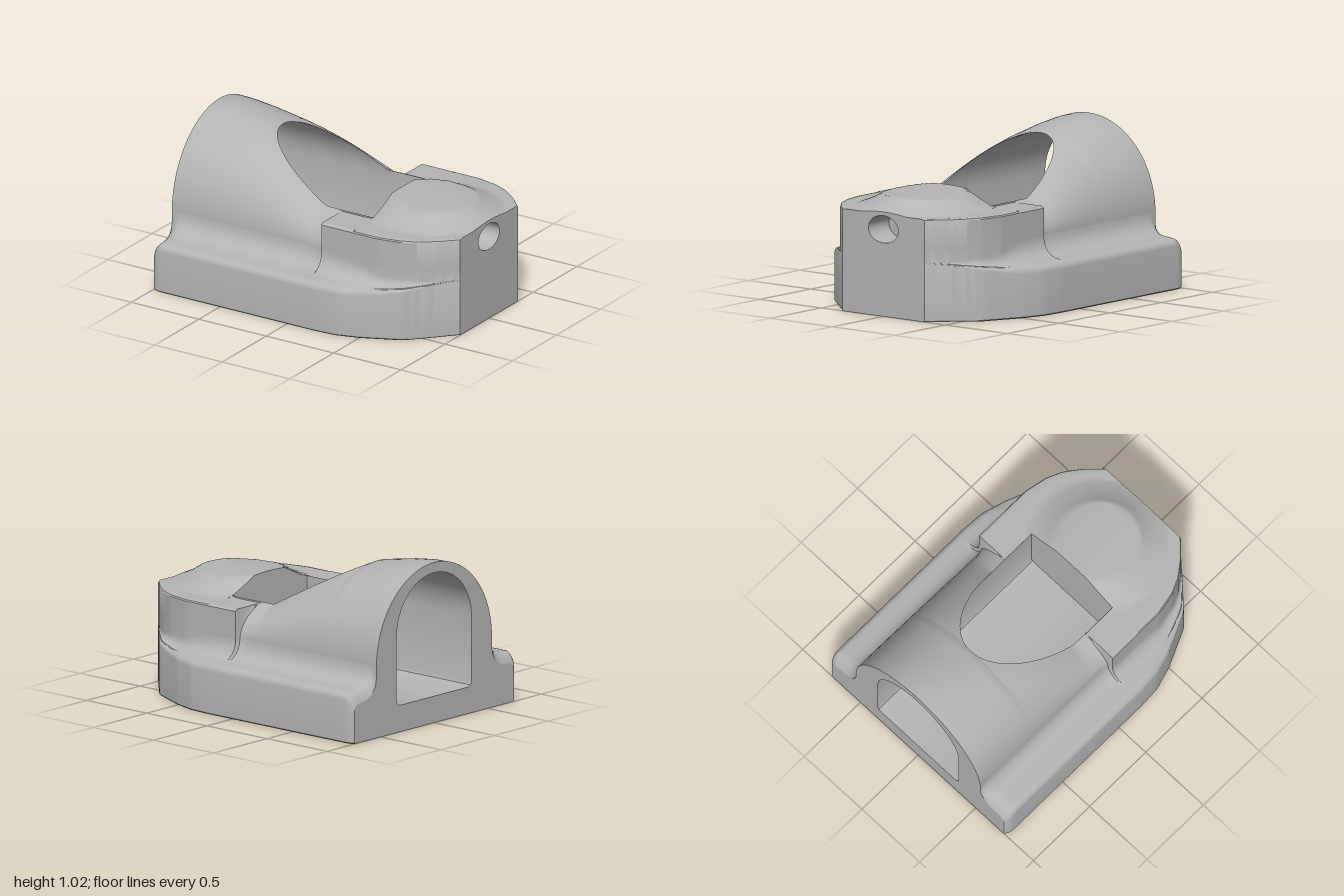
import * as THREE from 'three';
import { toCreasedNormals } from 'three/addons/utils/BufferGeometryUtils.js';

const TUNNEL = 0.35, SPRING = 0.61, FLOOR = 0.17; // tunnel half width, arch centre, floor height
const TIP = -0.53, STEP = 0.13, WALL = 0.37;      // opening tip, block start, opening end

// Piecewise linear lookup in [x, value] pairs
function lookup(table, x) {
  if (x <= table[0][0]) return table[0][1];
  for (let i = 1; i < table.length; i++) {
    const [x0, v0] = table[i - 1], [x1, v1] = table[i];
    if (x <= x1) return v0 + (v1 - v0) * (x - x0) / (x1 - x0);
  }
  return table[table.length - 1][1];
}

const baseWidth = [[-1, 0.745], [-0.985, 0.76], [-0.96, 0.768], [-0.94, 0.77], [0.2, 0.77], [0.35, 0.76],
  [0.5, 0.715], [0.75, 0.6], [0.9, 0.44], [1, 0.33]];
const shoulder = [[-1, 0.25], [-0.985, 0.285], [-0.96, 0.31], [-0.94, 0.32], [0.6, 0.32], [1, 0.37]];
const upperWidth = [[0.08, 0.54], [0.125, 0.55], [0.135, 0.58], [0.55, 0.58], [0.7, 0.55], [0.8, 0.505],
  [0.9, 0.43], [1, 0.33]];
const ridge = [[-1, 1.025], [-0.9, 1.022], [-0.75, 1.003], [TIP, 0.962]];

// Half width of the top opening, and height of its rim
const openHalf = x => x <= TIP ? 0 : x >= 0.1 ? TUNNEL : TUNNEL * Math.sqrt(Math.max(0, 1 - ((x - 0.1) / 0.63) ** 2));
const archY = z => SPRING + Math.sqrt(Math.max(0, TUNNEL * TUNNEL - z * z));
const rimY = x => x <= TIP ? lookup(ridge, x) : Math.max(archY(openHalf(x)), 0.655);

// Top of the toe block: a raised round plateau that falls away to the rim
function domeY(x, z) {
  const r = Math.hypot(x - 0.6, z);
  const t = THREE.MathUtils.clamp((r - 0.27) / 0.17, 0, 1);
  const plateau = 0.75 - 0.035 * Math.max(0, x - WALL) - 0.25 * z * z * (1 - t);
  return THREE.MathUtils.lerp(plateau, 0.645, t * (1.4 - 0.4 * t));
}

// Outer half section as [z, y], from the bottom centre up to the rim
function outerSection(x, inner) {
  const w = lookup(upperWidth, x), b = Math.max(lookup(baseWidth, x), w + 0.001), s = lookup(shoulder, x);
  const gap = b - w, r1 = Math.min(0.045, gap * 0.3), r2 = Math.min(0.13, gap * 0.65);
  const p = [[0, 0], [b - 0.008, 0], [b, 0.008]];
  for (let i = 0; i <= 4; i++) {
    const a = i / 4 * Math.PI / 2;
    p.push([b - r1 + r1 * Math.cos(a), s - r1 + r1 * Math.sin(a)]);
  }
  for (let i = 0; i <= 6; i++) {
    const a = i / 6 * Math.PI / 2;
    p.push([w + r2 - r2 * Math.sin(a), s + 0.005 + r2 - r2 * Math.cos(a)]);
  }
  const n = 24;
  if (x < STEP) {
    const e = openHalf(x), h = (rimY(x) - 0.45) / Math.sqrt(1 - (e / w) ** 2), end = Math.acos(e / w);
    for (let i = 0; i <= n; i++) p.push([w * Math.cos(end * i / n), 0.45 + h * Math.sin(end * i / n)]);
  } else {
    p.push([w, 0.46], [w, 0.632], [w - 0.006, 0.64]);
    const e = inner ? TUNNEL : 0;
    for (let i = 3; i <= n; i++) {
      const z = THREE.MathUtils.lerp(w - 0.006, e, (i - 2) / (n - 2));
      p.push([z, Math.max(0.64, domeY(x, z))]);
    }
  }
  return p;
}

// Tunnel half section, from the rim down to the floor centre
function innerSection(x) {
  const e = openHalf(x), start = Math.acos(e / TUNNEL), p = [[e, x <= TIP ? archY(0) : rimY(x)]];
  for (let i = 0; i <= 20; i++) {
    const a = start * (1 - i / 20);
    p.push([TUNNEL * Math.cos(a), SPRING + TUNNEL * Math.sin(a)]);
  }
  p.push([TUNNEL, FLOOR + 0.03], [TUNNEL - 0.009, FLOOR + 0.009], [TUNNEL - 0.03, FLOOR], [0, FLOOR]);
  return p;
}

// Skin a row of half sections along x and mirror it in z
function loft(xs, section) {
  const pos = [], idx = [], rows = xs.map(section), n = rows[0].length;
  for (const side of [1, -1]) {
    const o = pos.length / 3;
    rows.forEach((row, k) => row.forEach(([z, y]) => pos.push(xs[k], y, z * side)));
    for (let k = 0; k < xs.length - 1; k++) for (let j = 0; j < n - 1; j++) {
      const a = o + k * n + j, b = a + n, c = b + 1, d = a + 1;
      if (side > 0) idx.push(a, b, c, a, c, d);
      else idx.push(a, c, b, a, d, c);
    }
  }
  const g = new THREE.BufferGeometry();
  g.setAttribute('position', new THREE.Float32BufferAttribute(pos, 3));
  g.setIndex(idx);
  return toCreasedNormals(g, 0.55);
}

// Closed outline from a half section
const outline = half => [...half, ...half.slice().reverse().map(([z, y]) => [-z, y])]
  .map(([z, y]) => new THREE.Vector2(z, y));

function steps(from, to, n) {
  return Array.from({ length: n + 1 }, (_, i) => from + (to - from) * i / n);
}

export function createModel() {
  const group = new THREE.Group();
  const grey = new THREE.MeshStandardMaterial({ color: 0xb4b4b4, side: THREE.DoubleSide });
  const add = (name, geometry) => {
    const mesh = new THREE.Mesh(geometry, grey);
    mesh.name = name;
    group.add(mesh);
    return mesh;
  };

  // Sleeve with its rails, and the tunnel through it
  const sleeveX = [-1, -0.985, -0.96, -0.94, ...steps(-0.9, TIP, 8), -0.527, -0.52, -0.51,
    ...steps(-0.49, 0.08, 24), 0.1, 0.125, 0.135, ...steps(0.16, WALL, 8)];
  add('sleeve', loft(sleeveX, x => outerSection(x, true)));
  add('tunnel', loft(sleeveX, innerSection));

  // Rounded toe block
  add('toeBlock', loft([...steps(WALL, 0.98, 30), 1], x => outerSection(x, false)));

  // Open rear end
  const rear = new THREE.Shape(outline(outerSection(-1, true)));
  rear.holes.push(new THREE.Path(outline(innerSection(-1))));
  add('rearFace', new THREE.ShapeGeometry(rear).rotateY(-Math.PI / 2)).position.x = -1;

  // Wall that ends the opening
  const top = steps(TUNNEL, 0, 16).map(z => [z, domeY(WALL, z)]);
  const wall = new THREE.Shape(outline([[0, FLOOR], [TUNNEL, FLOOR], ...top]));
  add('openingWall', new THREE.ShapeGeometry(wall).rotateY(-Math.PI / 2)).position.x = WALL;

  // Flat toe face with an oval socket
  const [rz, ry, depth, hy] = [0.12, 0.086, 0.2, 0.549];
  const toe = new THREE.Shape(outline(outerSection(1, false)));
  toe.holes.push(new THREE.Path().absellipse(0, hy, rz, ry, 0, Math.PI * 2, true));
  add('toeFace', new THREE.ShapeGeometry(toe, 24).rotateY(Math.PI / 2)).position.x = 1;
  add('socketWall', new THREE.CylinderGeometry(1, 1, depth, 48, 1, true).rotateZ(Math.PI / 2).scale(1, ry, rz))
    .position.set(1 - depth / 2, hy, 0);
  add('socketEnd', new THREE.CircleGeometry(1, 48).rotateY(Math.PI / 2).scale(1, ry, rz))
    .position.set(1 - depth, hy, 0);
  return group;
}
